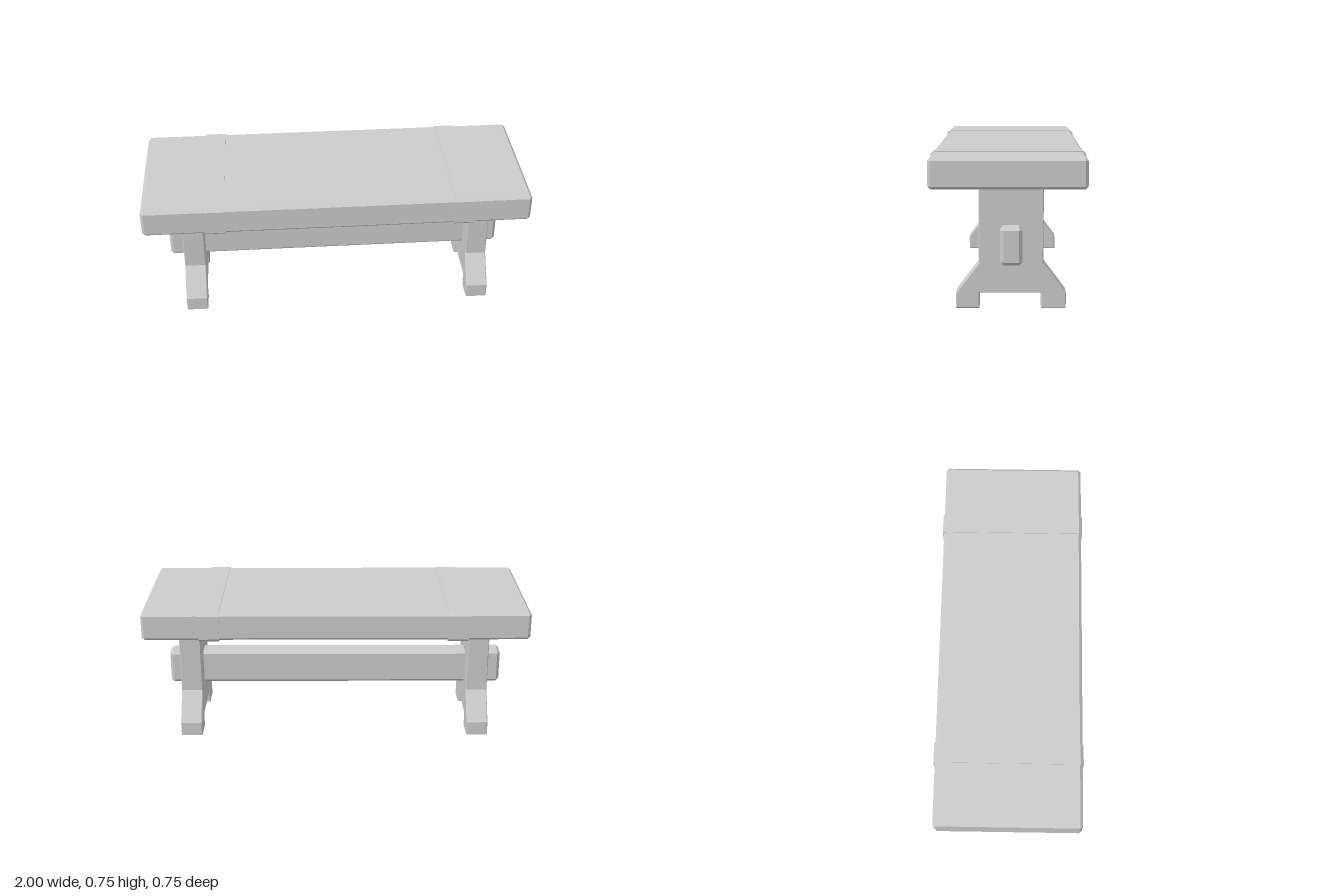
import * as THREE from 'three';
import { ConvexGeometry } from 'three/addons/geometries/ConvexGeometry.js';

const material = new THREE.MeshStandardMaterial({ color: 0xcccccc, flatShading: true });

function part(name, geometry, x = 0, y = 0, z = 0) {
  const mesh = new THREE.Mesh(geometry, material);
  mesh.name = name;
  mesh.position.set(x, y, z);
  return mesh;
}

// Box with every edge and corner cut by c
function chamferBox(w, h, d, c) {
  const points = [];
  for (const x of [-w / 2, w / 2])
    for (const y of [-h / 2, h / 2])
      for (const z of [-d / 2, d / 2]) {
        const [a, b, e] = [x, y, z].map((v) => v - Math.sign(v) * c);
        points.push(new THREE.Vector3(x, b, e), new THREE.Vector3(a, y, e), new THREE.Vector3(a, b, z));
      }
  return new ConvexGeometry(points);
}

// Extrudes a [z, y] outline along x, centred on x = 0
function extrudeAlongX(outline, width, bevel = 0) {
  const shape = new THREE.Shape(outline.map(([z, y]) => new THREE.Vector2(-z, y)));
  const geometry = new THREE.ExtrudeGeometry(shape, {
    depth: width - 2 * bevel,
    bevelEnabled: bevel > 0,
    bevelSize: bevel,
    bevelThickness: bevel,
    bevelOffset: -bevel,
    bevelSegments: 1,
  });
  geometry.translate(0, 0, bevel - width / 2);
  return geometry.rotateY(Math.PI / 2);
}

export function createModel() {
  const model = new THREE.Group();
  model.name = 'trestleTable';

  // Thick plank top
  model.add(part('tableTop', chamferBox(2, 0.147, 0.742, 0.014), 0, 0.6685, 0.001));

  // Straps wrapped around the top
  const h = 0.079, d = 0.377, c = 0.016;
  const strap = extrudeAlongX([
    [d, -h + c], [d, h - c], [d - c, h], [-d + c, h],
    [-d, h - c], [-d, -h + c], [-d + c, -h], [d - c, -h],
  ], 0.106);
  model.add(part('rightStrap', strap, -0.628, 0.667, 0));
  model.add(part('leftStrap', strap, 0.654, 0.667, 0));

  // Splayed trestle legs with a notch between the feet
  const leg = extrudeAlongX([
    [0.252, 0], [0.252, 0.075], [0.142, 0.22], [0.142, 0.605],
    [-0.168, 0.605], [-0.168, 0.22], [-0.276, 0.075], [-0.276, 0],
    [-0.157, 0], [-0.157, 0.076], [0.14, 0.076], [0.14, 0],
  ], 0.114, 0.004);
  model.add(part('rightLeg', leg, -0.764, 0, 0));
  model.add(part('leftLeg', leg, 0.782, 0, 0));

  // Stretcher passing through both legs
  model.add(part('stretcher', chamferBox(1.81, 0.185, 0.105, 0.016), 0.004, 0.3125, -0.014));

  return model;
}
